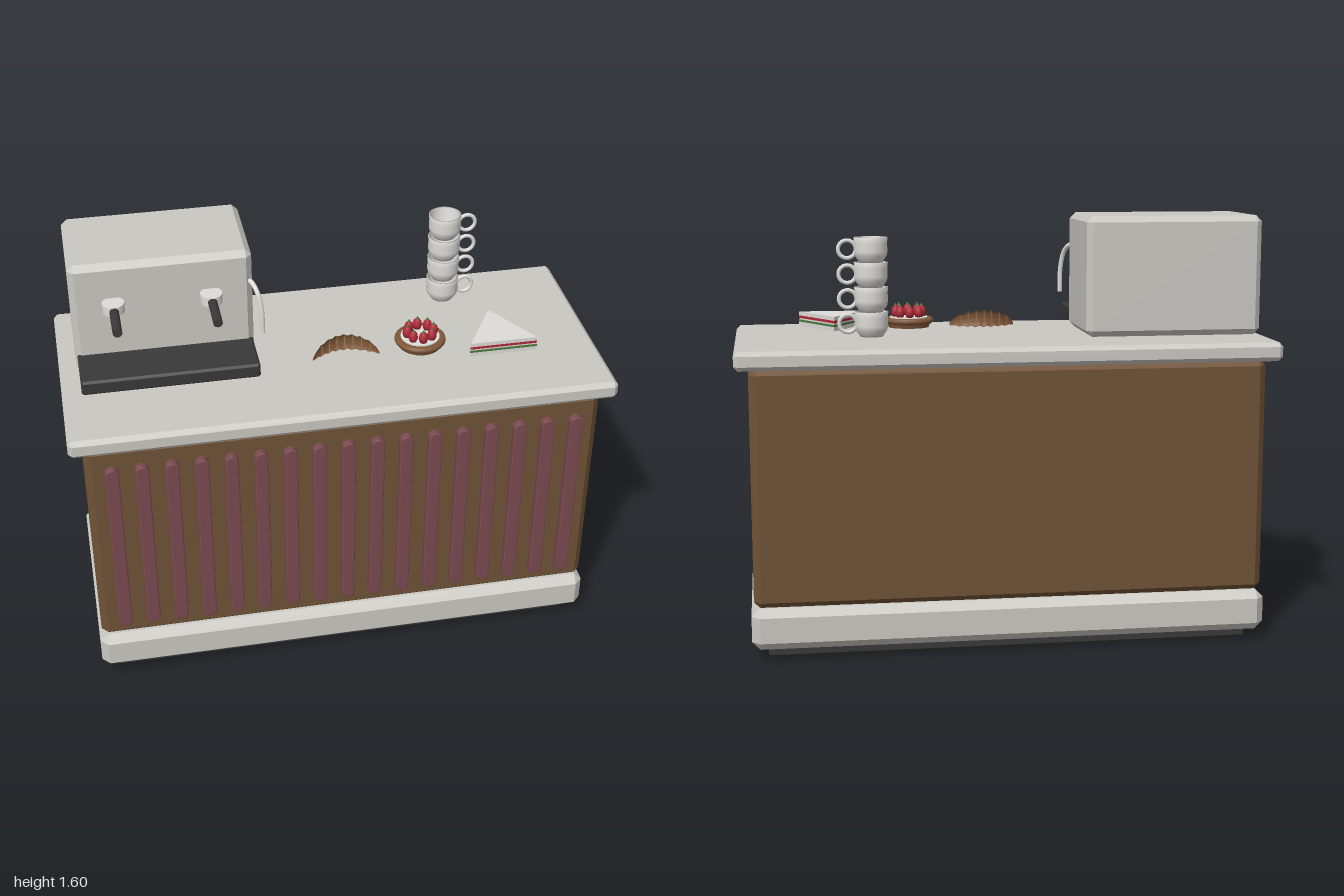
import * as THREE from 'three';
import { ConvexGeometry } from 'three/addons/geometries/ConvexGeometry.js';

const mat = (name, color, side = THREE.FrontSide) => {
  const m = new THREE.MeshStandardMaterial({ color, side });
  m.name = name;
  return m;
};

// Box with chamfered edges, given by its minimum and maximum on each axis
function chamferBox(x0, x1, y0, y1, z0, z1, b) {
  const c = [(x0 + x1) / 2, (y0 + y1) / 2, (z0 + z1) / 2];
  const h = [(x1 - x0) / 2, (y1 - y0) / 2, (z1 - z0) / 2];
  const points = [];
  for (const sx of [-1, 1]) for (const sy of [-1, 1]) for (const sz of [-1, 1])
    for (let full = 0; full < 3; full++) {
      const p = [sx, sy, sz].map((s, i) => c[i] + s * (i === full ? h[i] : h[i] - b));
      points.push(new THREE.Vector3(...p));
    }
  return new ConvexGeometry(points);
}

// Upright crescent with ridges; size scales the section for the overlaid bands
function crescent(u0, u1, grow, segments) {
  const g = new THREE.CylinderGeometry(1, 1, 1, 14, segments);
  const p = g.attributes.position;
  for (let i = 0; i < p.count; i++) {
    const t = p.getY(i) + 0.5;
    const u = u0 + (u1 - u0) * t;
    const round = Math.sqrt(Math.max(0.02, 1 - u * u));
    const ridge = 1 + 0.07 * Math.cos(u * 26);
    const height = 0.031 * round * ridge + grow;
    const depth = 0.011 * round * ridge + grow;
    p.setXYZ(i, 0.125 * u, 0.031 * round + p.getX(i) * height, 0.055 * u * u + p.getZ(i) * depth);
  }
  g.computeVertexNormals();
  return g;
}

export function createModel() {
  const root = new THREE.Group();
  root.name = 'cafeCounter';

  const stone = mat('pale stone', 0xcac8c2);
  const wood = mat('brown wood', 0x6f5236);
  const slatRed = mat('dull red wood', 0x7a4a50);
  const black = mat('charcoal', 0x393939);
  const china = mat('white china', 0xdedcd8, THREE.DoubleSide);
  const pastry = mat('pastry', 0x80583a);
  const crumb = mat('light pastry', 0xa88a66);
  const red = mat('berry red', 0xb02a38);
  const green = mat('leaf green', 0x4d7a3c);

  const add = (parent, name, geometry, material, x = 0, y = 0, z = 0) => {
    const m = new THREE.Mesh(geometry, material);
    m.name = name;
    m.position.set(x, y, z);
    parent.add(m);
    return m;
  };
  const group = (name, x, y, z) => {
    const g = new THREE.Group();
    g.name = name;
    g.position.set(x, y, z);
    root.add(g);
    return g;
  };

  // Counter
  add(root, 'kickPlate', chamferBox(-0.9, 0.9, 0, 0.05, -0.365, 0.365, 0.01), black);
  add(root, 'plinth', chamferBox(-0.96, 0.96, 0.04, 0.195, -0.42, 0.42, 0.03), stone);
  add(root, 'body', chamferBox(-0.95, 0.95, 0.19, 1.075, -0.4, 0.4, 0.026), wood);
  add(root, 'worktop', chamferBox(-1, 1, 1.07, 1.14, -0.44, 0.44, 0.016), stone);

  // Row of round-ended slats on the front
  const r = 0.02;
  const slatShape = new THREE.Shape();
  slatShape.absarc(0, 0.345, r, 0, Math.PI);
  slatShape.absarc(0, -0.345, r, Math.PI, Math.PI * 2);
  slatShape.closePath();
  const slatGeometry = new THREE.ExtrudeGeometry(slatShape, {
    depth: 0.03, bevelThickness: 0.006, bevelSize: 0.005, bevelSegments: 2, curveSegments: 8,
  });
  for (let i = 0; i < 17; i++)
    add(root, 'slat', slatGeometry, slatRed, (i - 8) * 0.107, 0.627, 0.392);

  // Coffee machine
  const machine = group('coffeeMachine', 0, 0, 0);
  add(machine, 'housing', chamferBox(-0.935, -0.28, 1.16, 1.6, -0.35, 0.037, 0.022), stone);
  add(machine, 'dripTray', chamferBox(-0.928, -0.285, 1.182, 1.238, -0.02, 0.217, 0.008), black);
  for (const x of [-0.785, -0.435]) {
    add(machine, 'brewHead', new THREE.CylinderGeometry(0.04, 0.04, 0.036, 24), china, x, 1.448, 0.068);
    add(machine, 'brewHandle', new THREE.CylinderGeometry(0.017, 0.017, 0.16, 16), black, x, 1.448, 0.165)
      .rotation.x = Math.PI / 2;
  }
  const wandPath = new THREE.CatmullRomCurve3([
    [-0.305, 1.475, 0.01], [-0.285, 1.475, 0.035], [-0.268, 1.445, 0.07],
    [-0.258, 1.385, 0.086], [-0.256, 1.29, 0.09],
  ].map((p) => new THREE.Vector3(...p)));
  add(machine, 'steamWand', new THREE.TubeGeometry(wandPath, 24, 0.009, 10), china);

  // Stack of cups
  const cupProfile = [
    [0, 0], [0.042, 0], [0.047, 0.008], [0.058, 0.024], [0.061, 0.04], [0.06, 0.07], [0.062, 0.091],
    [0.055, 0.091], [0.054, 0.04], [0.04, 0.012], [0, 0.01],
  ].map(([x, y]) => new THREE.Vector2(x, y));
  const cupGeometry = new THREE.LatheGeometry(cupProfile, 28);
  const handleGeometry = new THREE.TorusGeometry(0.032, 0.0075, 8, 24);
  for (let i = 0; i < 4; i++) {
    const cup = group('cup', 0.5, 1.165 + i * 0.09, -0.235);
    add(cup, 'cupBowl', cupGeometry, china);
    add(cup, 'cupHandle', handleGeometry, china, 0.086, 0.048, 0);
  }

  // Croissant
  const croissant = group('croissant', 0.05, 1.16, 0.058);
  add(croissant, 'croissantBody', crescent(-1, 1, 0, 60), pastry);
  for (let i = -3; i <= 3; i++)
    add(croissant, 'croissantBand', crescent(i * 0.242 - 0.035, i * 0.242 + 0.035, 0.0012, 4), crumb);

  // Berry tart
  const tart = group('tart', 0.337, 1.16, 0.08);
  add(tart, 'crust', new THREE.CylinderGeometry(0.088, 0.078, 0.036, 32), pastry, 0, 0.02, 0);
  add(tart, 'crustRim', new THREE.TorusGeometry(0.084, 0.012, 10, 36), pastry, 0, 0.028, 0)
    .rotation.x = Math.PI / 2;
  add(tart, 'cream', new THREE.CylinderGeometry(0.073, 0.073, 0.008, 32), china, 0, 0.038, 0);
  const berryProfile = [[0, 0], [0.013, 0.003], [0.018, 0.017], [0.015, 0.034], [0.008, 0.043], [0, 0.046]]
    .map(([x, y]) => new THREE.Vector2(x, y));
  const berryGeometry = new THREE.LatheGeometry(berryProfile, 14);
  for (let i = 0; i < 8; i++) {
    const a = (i / 8) * Math.PI * 2;
    const x = Math.cos(a) * 0.05, z = Math.sin(a) * 0.05;
    add(tart, 'berry', berryGeometry, red, x, 0.04, z);
    add(tart, 'berryLeaf', new THREE.ConeGeometry(0.006, 0.012, 5), green, x, 0.09, z);
  }

  // Layered triangular sandwich
  const sandwich = group('sandwich', 0.628, 1.16, 0);
  const slice = (name, y0, y1, k, material) => {
    const s = new THREE.Shape([[-0.127, -0.195], [0.127, -0.195], [0, 0.025]]
      .map(([x, y]) => new THREE.Vector2(x * k, (y + 0.12) * k - 0.12)));
    const g = new THREE.ExtrudeGeometry(s, { depth: y1 - y0, bevelEnabled: false });
    add(sandwich, name, g.rotateX(-Math.PI / 2), material, 0, y0, 0);
  };
  slice('lowerBread', 0, 0.016, 1, china);
  slice('lettuce', 0.016, 0.024, 1.01, green);
  slice('cheese', 0.024, 0.03, 0.98, china);
  slice('tomato', 0.03, 0.04, 1, red);
  slice('upperBread', 0.04, 0.055, 1, china);

  return root;
}
